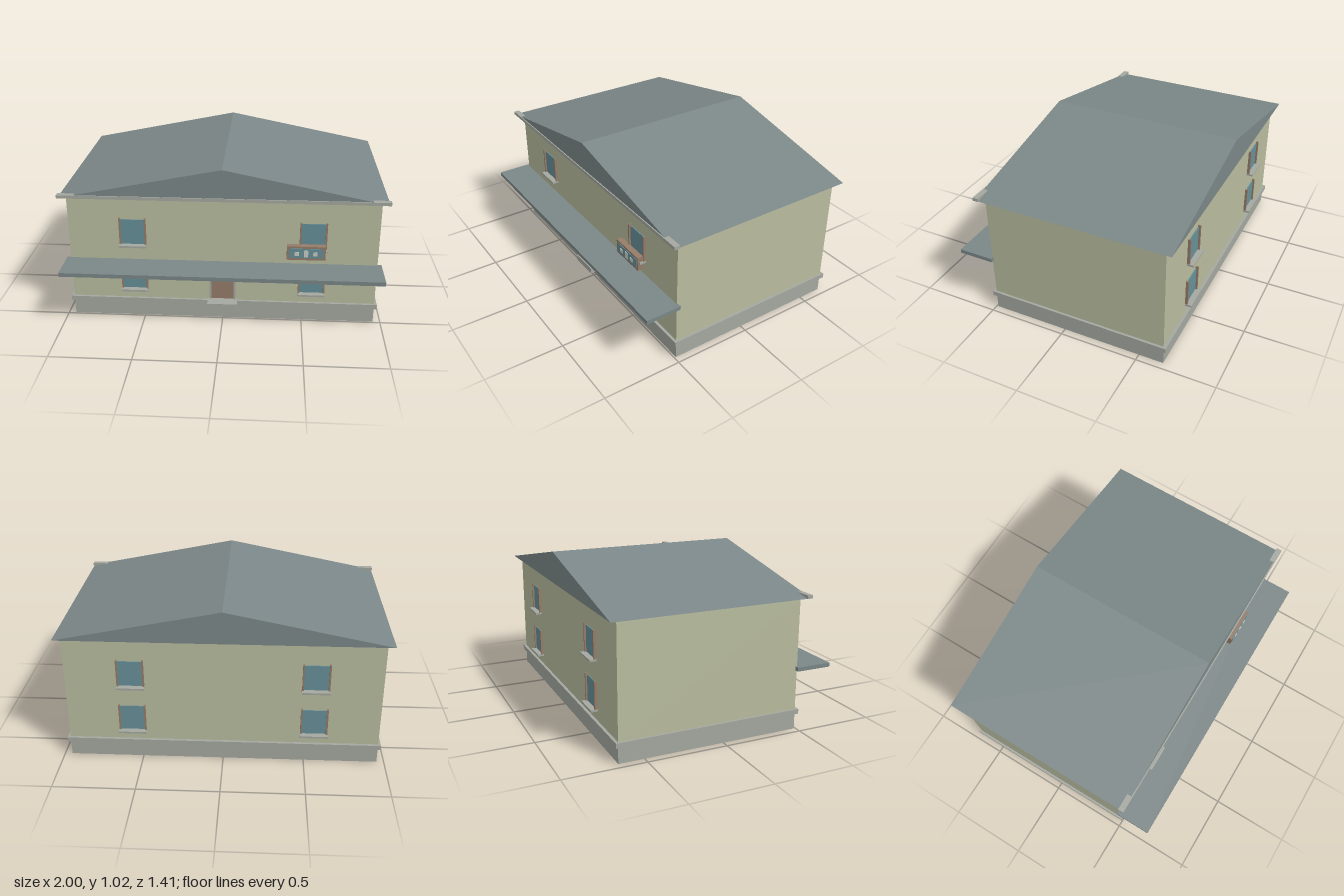
import * as THREE from 'three';

const mat = (color) => new THREE.MeshStandardMaterial({ color });

export function createModel() {
  const house = new THREE.Group();
  house.name = 'house';
  const wallMat = mat(0xb9bd9f), concrete = mat(0xa5a8a0), roofMat = mat(0x7b8788);
  const glass = mat(0x678f98), wood = mat(0x957c69), cream = mat(0xc9ccc4);

  // Box given by its limits on each axis
  function box(name, [x0, x1], [y0, y1], [z0, z1], material, parent = house) {
    const mesh = new THREE.Mesh(new THREE.BoxGeometry(x1 - x0, y1 - y0, z1 - z0), material);
    mesh.position.set((x0 + x1) / 2, (y0 + y1) / 2, (z0 + z1) / 2);
    mesh.name = name;
    parent.add(mesh);
    return mesh;
  }

  // Foundation, belt course and walls
  const front = 0.489, back = -0.657;
  box('foundation', [-0.955, 0.955], [0, 0.1], [back, front], concrete);
  box('beltCourse', [-0.97, 0.97], [0.1, 0.13], [back - 0.018, front + 0.016], concrete);
  box('walls', [-0.955, 0.955], [0.13, 0.82], [back, front], wallMat);

  // Gable roof with the ridge running front to back
  const gable = new THREE.Shape([
    new THREE.Vector2(-0.995, 0.82), new THREE.Vector2(0.995, 0.82), new THREE.Vector2(0, 1.02),
  ]);
  const roof = new THREE.Mesh(
    new THREE.ExtrudeGeometry(gable, { depth: 1.24, bevelEnabled: false }), roofMat);
  roof.position.z = -0.704;
  roof.name = 'roof';
  house.add(roof);
  box('frontCornice', [-1, 1], [0.82, 0.84], [0.508, 0.543], concrete);

  // Long canopy over the ground floor
  box('canopy', [-0.98, 0.98], [0.375, 0.4], [0.48, 0.706], roofMat);

  // Door with side posts and step
  const entrance = new THREE.Group();
  entrance.name = 'entrance';
  house.add(entrance);
  box('doorStep', [-0.093, 0.093], [0.1, 0.14], [0.48, 0.57], concrete, entrance);
  box('door', [-0.07, 0.07], [0.14, 0.335], [0.48, 0.495], wood, entrance);
  for (const s of [-1, 1])
    box('doorPost', [s * 0.076 - 0.006, s * 0.076 + 0.006], [0.14, 0.35], [0.48, 0.505], concrete, entrance);

  // Window built facing +z, with its sill at y = 0
  function makeWindow() {
    const g = new THREE.Group();
    g.name = 'window';
    box('pane', [-0.074, 0.074], [0.01, 0.175], [-0.01, 0.006], glass, g);
    for (const s of [-1, 1])
      box('windowPost', [s * 0.078 - 0.005, s * 0.078 + 0.005], [0.01, 0.185], [-0.01, 0.017], wood, g);
    box('sill', [-0.085, 0.085], [0, 0.012], [-0.01, 0.042], concrete, g);
    return g;
  }
  for (const x of [-0.555, 0.555])
    for (const y of [0.189, 0.495])
      for (const isFront of [true, false]) {
        const w = makeWindow();
        w.position.set(x, y, isFront ? front : back);
        if (!isFront) w.rotation.y = Math.PI;
        house.add(w);
      }

  // Planter-like panel below the upper window
  const panel = new THREE.Group();
  panel.name = 'wallPanel';
  house.add(panel);
  box('panelFrame', [0.395, 0.63], [0.45, 0.54], [0.503, 0.541], wood, panel);
  box('panelFace', [0.408, 0.617], [0.465, 0.527], [0.53, 0.545], glass, panel);
  for (const [x, w, h] of [[0.455, 0.025, 0.025], [0.512, 0.025, 0.045], [0.567, 0.025, 0.025]])
    box('panelTile', [x - w / 2, x + w / 2], [0.494 - h / 2, 0.494 + h / 2], [0.54, 0.549], cream, panel);

  return house;
}
